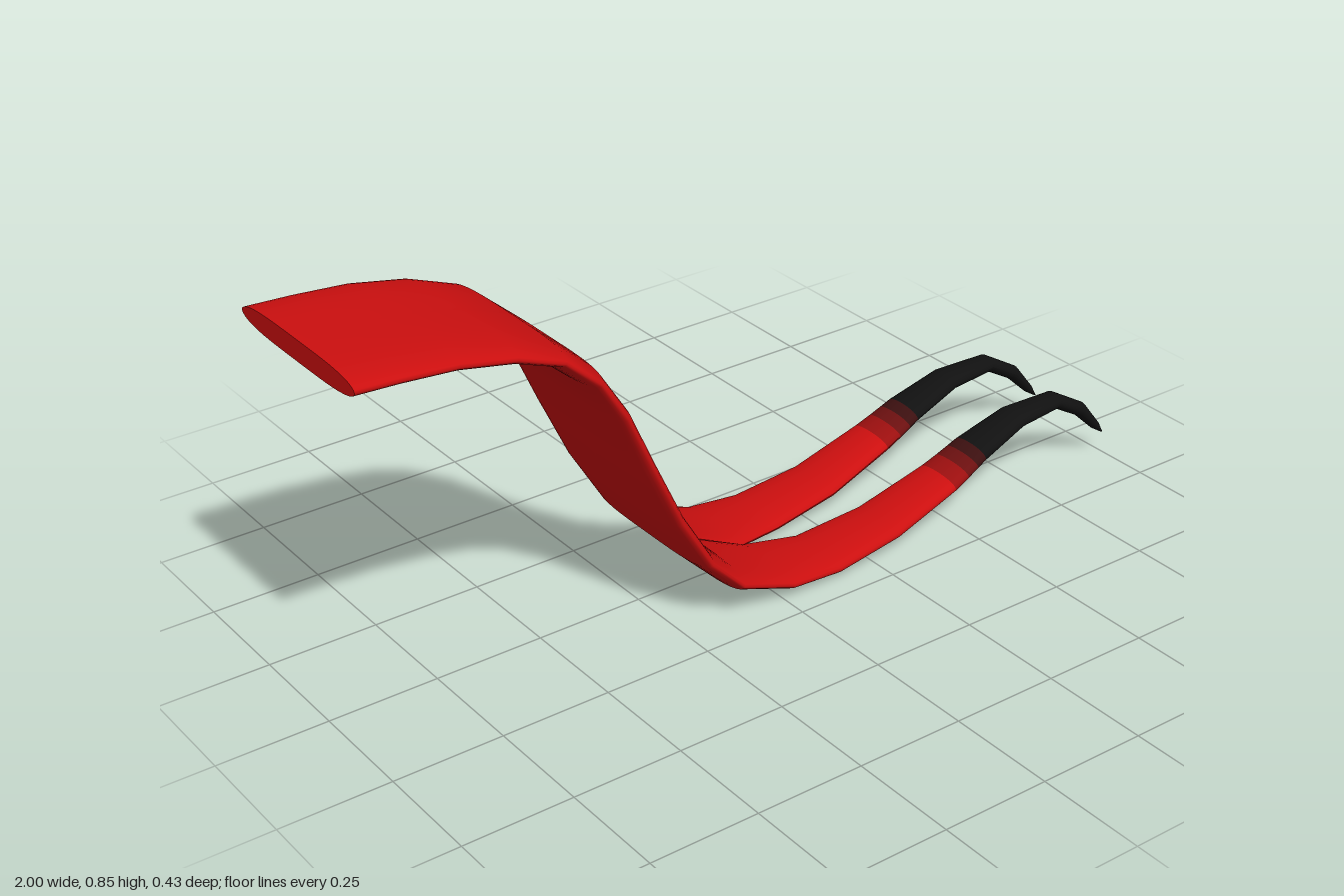
import * as THREE from 'three';

const paint = (name, color) => {
  const m = new THREE.MeshStandardMaterial({ color });
  m.name = name;
  return m;
};

// Centre line seen from the front: x, y
const path = [
  [-1, 0.83], [-0.9, 0.825], [-0.78, 0.815], [-0.655, 0.79], [-0.55, 0.75], [-0.47, 0.68],
  [-0.41, 0.585], [-0.35, 0.45], [-0.28, 0.3], [-0.205, 0.175], [-0.12, 0.09], [0.02, 0.038],
  [0.15, 0.0265], [0.32, 0.048], [0.49, 0.103], [0.53, 0.12], [0.56, 0.134], [0.585, 0.146],
  [0.71, 0.188], [0.835, 0.192], [0.92, 0.142], [0.975, 0.082], [1, 0.056],
];

// Straight-line interpolation between a few keys
const ramp = (keys) => (x) => {
  if (x <= keys[0][0]) return keys[0][1];
  const i = keys.findIndex((k) => k[0] >= x);
  const [x0, v0] = keys[i - 1], [x1, v1] = keys[i];
  return v0 + (v1 - v0) * (x - x0) / (x1 - x0);
};
const outerEdge = ramp([[-0.35, 0.215], [0.02, 0.202], [0.49, 0.178], [0.975, 0.13], [1, 0.119]]);
const innerEdge = ramp([[0.02, 0], [0.15, 0.028], [0.975, 0.1], [1, 0.111]]);
const halfThickness = ramp([[0.58, 0.0235], [0.92, 0.018], [0.975, 0.011], [1, 0.002]]);
const seamThickness = ramp([[-0.2, 1], [-0.12, 0.85], [0.02, 0], [1, 0]]);

// Where each darker band begins
const bandStarts = [0.49, 0.53, 0.56, 0.585];

// Positions across a half section, crowded towards both edges
const STEPS = 14;
const across = Array.from({ length: STEPS + 1 }, (_, i) => (1 - Math.cos(Math.PI * i / STEPS)) / 2);

// One half section, from the inner bottom round the outer edge to the inner top
function section(i, side) {
  const [x, y] = path[i];
  const a = path[Math.max(i - 1, 0)], b = path[Math.min(i + 1, path.length - 1)];
  const length = Math.hypot(b[0] - a[0], b[1] - a[1]);
  const nx = i === 0 ? 0 : -(b[1] - a[1]) / length;
  const ny = i === 0 ? 1 : (b[0] - a[0]) / length;
  const inner = innerEdge(x), outer = outerEdge(x), seam = seamThickness(x);
  const point = (s, sign) => {
    const outerRound = Math.sqrt(1 - s ** 4);
    const innerRound = Math.sqrt(1 - (1 - s) ** 4);
    const h = sign * halfThickness(x) * outerRound * (seam + (1 - seam) * innerRound);
    return [x + nx * h, y + ny * h, side * (inner + (outer - inner) * s)];
  };
  return [
    ...across.map((s) => point(s, -1)),
    ...across.slice(0, -1).reverse().map((s) => point(s, 1)),
  ];
}

// Lofted half of the strip with its prong
function halfStrip(side, materials) {
  const rings = path.map((_, i) => section(i, side));
  const n = rings[0].length;
  const index = [];
  const geometry = new THREE.BufferGeometry();
  const tri = (a, b, c) => index.push(...(side > 0 ? [a, b, c] : [a, c, b]));
  for (let i = 0; i < rings.length - 1; i++) {
    const start = index.length;
    for (let j = 0; j < n - 1; j++) {
      const a = i * n + j, c = a + n;
      tri(a, c, a + 1);
      tri(a + 1, c, c + 1);
    }
    const band = bandStarts.filter((x) => x <= path[i][0]).length;
    geometry.addGroup(start, index.length - start, band);
  }
  geometry.setAttribute('position', new THREE.Float32BufferAttribute(rings.flat(2), 3));
  geometry.setIndex(index);
  geometry.computeVertexNormals();

  // Keep shading continuous over the middle seam
  const normal = geometry.attributes.normal;
  path.forEach(([x], i) => {
    if (seamThickness(x) < 0.5) return;
    for (const j of [i * n, i * n + n - 1]) {
      const v = new THREE.Vector3(normal.getX(j), normal.getY(j), 0).normalize();
      normal.setXYZ(j, v.x, v.y, 0);
    }
  });
  return new THREE.Mesh(geometry, materials);
}

// Flat cap closing the wide end
function endCap(side, material) {
  const ring = section(0, side);
  const index = [];
  for (let j = 1; j < ring.length - 1; j++) index.push(...(side > 0 ? [0, j, j + 1] : [0, j + 1, j]));
  const geometry = new THREE.BufferGeometry();
  geometry.setAttribute('position', new THREE.Float32BufferAttribute(ring.flat(), 3));
  geometry.setIndex(index);
  geometry.computeVertexNormals();
  return new THREE.Mesh(geometry, material);
}

export function createModel() {
  const materials = [
    paint('red', 0xcc0f0f),
    paint('deepRed', 0x9c0f0f),
    paint('darkRed', 0x6c1010),
    paint('blackRed', 0x3c1010),
    paint('black', 0x111111),
  ];
  const model = new THREE.Group();
  model.name = 'forkedTongue';
  for (const side of [1, -1]) {
    const label = side > 0 ? 'front' : 'back';
    const half = halfStrip(side, materials);
    half.name = label + 'TongueHalf';
    const cap = endCap(side, materials[0]);
    cap.name = label + 'RootCap';
    model.add(half, cap);
  }
  return model;
}
